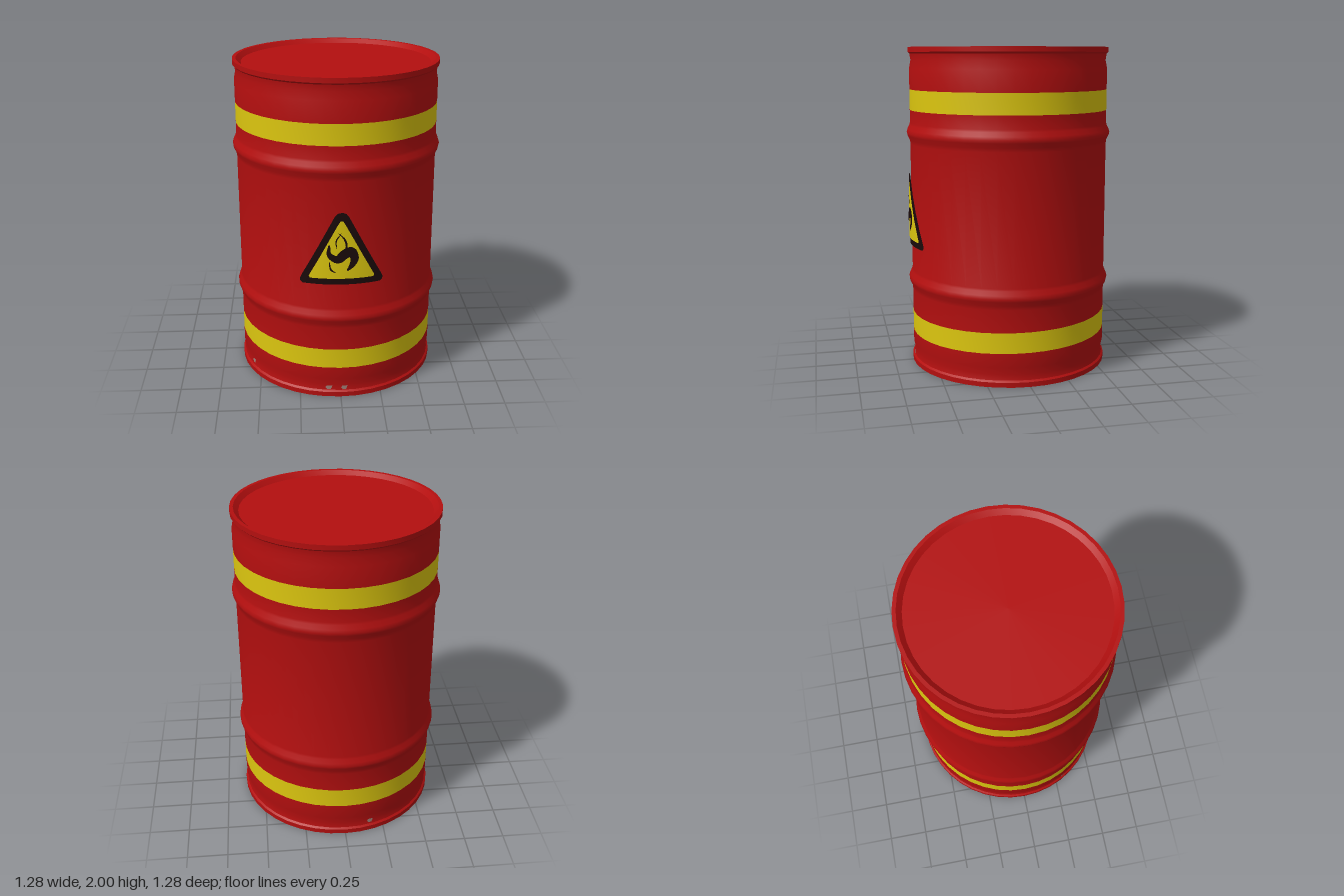
import * as THREE from 'three';
import { toCreasedNormals } from 'three/addons/utils/BufferGeometryUtils.js';

const SEGMENTS = 40;

function material(name, color) {
  const m = new THREE.MeshStandardMaterial({ color, side: THREE.DoubleSide });
  m.name = name;
  return m;
}

// Revolved section of the drum, with the lower stripe rising slightly to the back
function section(name, profile, mat) {
  const geo = new THREE.LatheGeometry(profile.map(([r, y]) => new THREE.Vector2(r, y)), SEGMENTS);
  const p = geo.attributes.position;
  for (let i = 0; i < p.count; i++) {
    const y = p.getY(i);
    if (y > 0.19 && y < 0.36) p.setY(i, y + 0.01 * (1 - p.getZ(i) / 0.62));
  }
  const mesh = new THREE.Mesh(toCreasedNormals(geo, 0.6), mat);
  mesh.name = name;
  return mesh;
}

// Wraps flat x, y, layer-radius geometry around the front of the drum
function wrap(name, geo, radius, mat, turn = 0) {
  const p = geo.attributes.position;
  for (let i = 0; i < p.count; i++) {
    const x = p.getX(i);
    p.setXYZ(i, x, p.getY(i), Math.sqrt(radius * radius - x * x));
  }
  geo.computeVertexNormals();
  const mesh = new THREE.Mesh(geo, mat);
  mesh.name = name;
  mesh.rotation.y = turn;
  return mesh;
}

// Plate with a left and right edge at each height; rows are [y, xLeft, xRight]
function plate(rows) {
  const geo = new THREE.PlaneGeometry(1, 1, 16, rows.length - 1);
  const p = geo.attributes.position;
  for (let i = 0; i < p.count; i++) {
    const [y, l, r] = rows[Math.floor(i / 17)];
    p.setXY(i, l + (r - l) * (p.getX(i) + 0.5), y);
  }
  return geo;
}

// Ribbon along a smooth path, tapering to both ends
function ribbon(points, width) {
  const curve = new THREE.CatmullRomCurve3(points.map(([x, y]) => new THREE.Vector3(x, y, 0)));
  const n = 28;
  const geo = new THREE.PlaneGeometry(1, 1, 1, n);
  const p = geo.attributes.position;
  for (let i = 0; i <= n; i++) {
    const c = curve.getPoint(i / n), t = curve.getTangent(i / n);
    const w = width * (0.15 + 0.85 * Math.sin(Math.PI * i / n)) / 2;
    p.setXY(i * 2, c.x + t.y * -w, c.y + t.x * w);
    p.setXY(i * 2 + 1, c.x + t.y * w, c.y - t.x * w);
  }
  // keep the faces pointing outwards
  const idx = geo.index;
  for (let i = 0; i < idx.count; i += 3) {
    const [a, b, c] = [0, 1, 2].map(k => idx.getX(i + k));
    const area = (p.getX(b) - p.getX(a)) * (p.getY(c) - p.getY(a))
      - (p.getX(c) - p.getX(a)) * (p.getY(b) - p.getY(a));
    if (area < 0) { idx.setX(i + 1, c); idx.setX(i + 2, b); }
  }
  return geo;
}

export function createModel() {
  const model = new THREE.Group();
  model.name = 'drum';
  const red = material('red paint', 0xb30f0f);
  const yellow = material('yellow paint', 0xdcc60f);
  const black = material('black print', 0x1a0a0a);
  const grey = material('bare metal', 0xa08078);

  const rib = y => [[0.62, y - 0.07], [0.624, y - 0.045], [0.638, y - 0.018], [0.642, y],
    [0.636, y + 0.02], [0.624, y + 0.045], [0.62, y + 0.06]];

  // Drum shell, from the recessed base up to the recessed lid
  model.add(
    section('lowerShell', [[0, 0.025], [0.585, 0.025], [0.6, 0], [0.627, 0], [0.627, 0.03],
      [0.616, 0.04], [0.61, 0.075], [0.62, 0.12], [0.62, 0.2]], red),
    section('lowerStripe', [[0.62, 0.2], [0.62, 0.327]], yellow),
    section('middleShell', [[0.62, 0.327], ...rib(0.545), ...rib(1.475), [0.62, 1.615]], red),
    section('upperStripe', [[0.62, 1.615], [0.62, 1.742]], yellow),
    section('upperShell', [[0.62, 1.742], [0.62, 1.87], [0.61, 1.92], [0.616, 1.96],
      [0.627, 1.97], [0.627, 2], [0.605, 2], [0.575, 1.975], [0, 1.975]], red),
  );

  // Warning sign
  const sign = new THREE.Group();
  sign.name = 'warningSign';
  const border = [[1.222, 0.012], [1.215, 0.028], [1.195, 0.043], [1.1, 0.092], [1, 0.143],
    [0.9, 0.195], [0.83, 0.232], [0.8, 0.245], [0.785, 0.243], [0.772, 0.23]];
  const field = [[1.172, 0.008], [1.15, 0.022], [1.05, 0.075], [0.95, 0.127],
    [0.85, 0.18], [0.825, 0.193], [0.811, 0.188]];
  const mirrored = rows => plate(rows.map(([y, w]) => [y, 0.003 - w, 0.003 + w]));
  sign.add(
    wrap('signBorder', mirrored(border), 0.632, black),
    wrap('signField', mirrored(field), 0.636, yellow),
    wrap('flameBody', ribbon([[-0.07, 1.025], [-0.07, 0.965], [-0.02, 0.935], [0.015, 0.965],
      [0.055, 0.985], [0.078, 0.94], [0.06, 0.895], [0.035, 0.865]], 0.06), 0.64, black),
    wrap('flameTip', ribbon([[-0.015, 1.1], [0.02, 1.06], [0.03, 1.01], [0.005, 0.98]], 0.012), 0.64, black),
    wrap('flameSide', ribbon([[0, 1.1], [-0.03, 1.05], [-0.025, 1]], 0.008), 0.64, black),
    wrap('flameBase', ribbon([[-0.07, 0.92], [-0.06, 0.87], [-0.03, 0.85]], 0.01), 0.64, black),
  );
  model.add(sign);

  // Chipped paint near the base: turn, height, half width
  [[-0.12, 0.06, 0.022], [0.035, 0.06, 0.02], [-1.07, 0.075, 0.018], [-2.88, 0.07, 0.02]]
    .forEach(([turn, y, w]) => model.add(wrap('paintChip',
      plate([[y + 0.014, -w * 0.6, w], [y, -w, w * 0.8], [y - 0.013, -w * 0.5, w * 0.5]]), 0.62, grey, turn)));

  return model;
}
